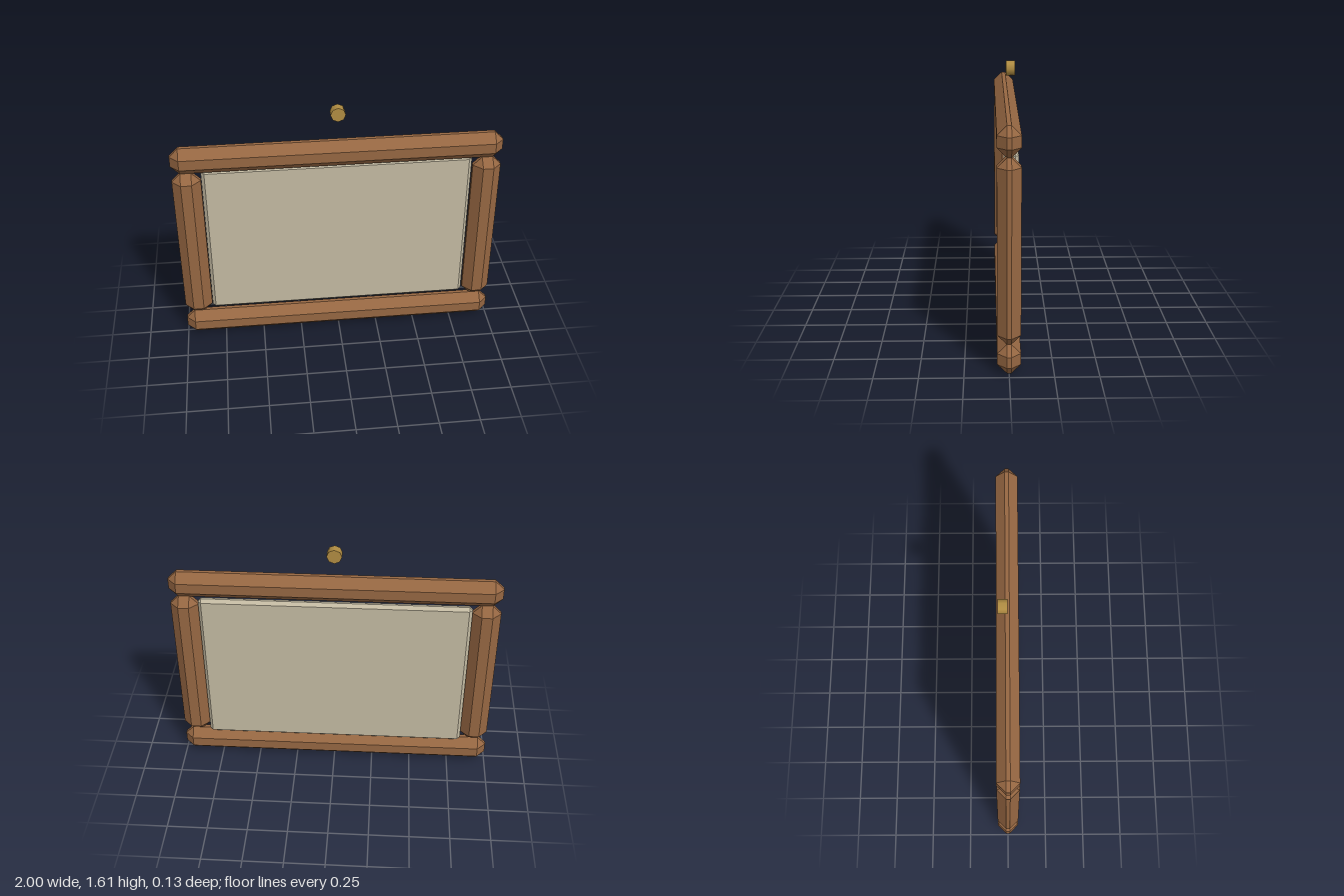
import * as THREE from 'three';
import { ConvexGeometry } from 'three/addons/geometries/ConvexGeometry.js';

const wood = new THREE.MeshStandardMaterial({ color: 0x966742 });
wood.name = 'wood';
const canvas = new THREE.MeshStandardMaterial({ color: 0xc3baa2 });
canvas.name = 'canvas';
const brass = new THREE.MeshStandardMaterial({ color: 0xb08c42 });
brass.name = 'brass';

// Box with every edge and corner cut off by the same chamfer
function chamferedBox(w, h, d, c) {
  const half = [w / 2, h / 2, d / 2];
  const points = [];
  for (const sx of [-1, 1]) for (const sy of [-1, 1]) for (const sz of [-1, 1]) {
    for (let axis = 0; axis < 3; axis++) {
      const [x, y, z] = half.map((v, i) => (i === axis ? v : v - c));
      points.push(new THREE.Vector3(sx * x, sy * y, sz * z));
    }
  }
  return new ConvexGeometry(points);
}

export function createModel() {
  const group = new THREE.Group();
  group.name = 'hangingFrame';

  const add = (name, geometry, material, x, y, z) => {
    const mesh = new THREE.Mesh(geometry, material);
    mesh.name = name;
    mesh.position.set(x, y, z);
    group.add(mesh);
    return mesh;
  };

  // Horizontal rails
  const rail = chamferedBox(2, 0.173, 0.132, 0.054);
  add('bottomRail', rail, wood, 0, 0.0865, 0);
  add('topRail', rail, wood, 0, 1.3155, 0);

  // Upright posts between the rails
  const post = chamferedBox(0.173, 1.056, 0.132, 0.054);
  add('leftPost', post, wood, 0.9135, 0.701, 0);
  add('rightPost', post, wood, -0.9135, 0.701, 0);

  // Thin panel set towards the back of the frame
  add('panel', chamferedBox(1.652, 1.056, 0.055, 0.02), canvas, 0, 0.701, -0.0275);

  // Eight-sided wall peg floating above the frame
  const peg = new THREE.CylinderGeometry(0.045, 0.045, 0.055, 8);
  peg.rotateX(Math.PI / 2);
  add('wallPeg', peg, brass, 0, 1.564, -0.0275);

  return group;
}
